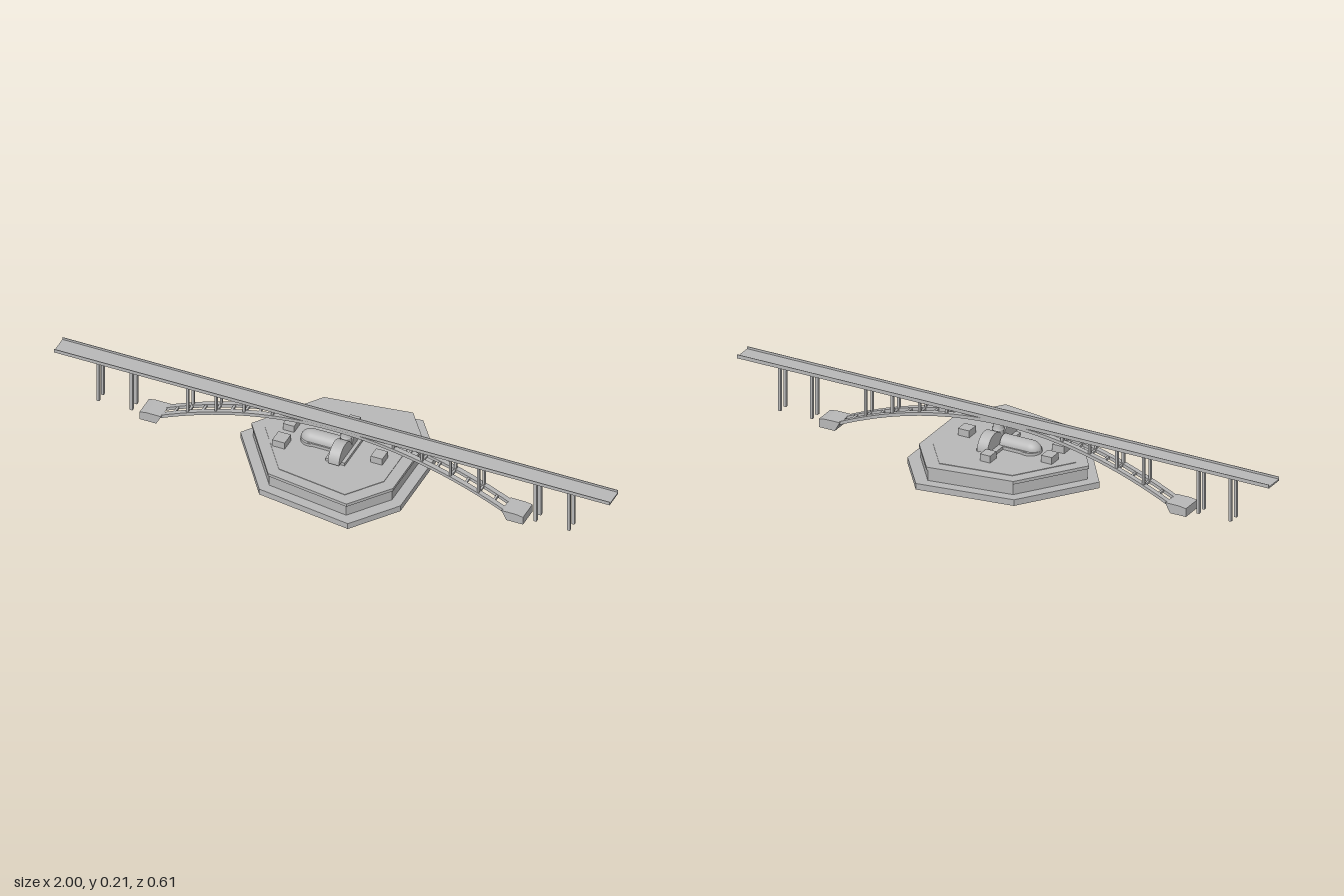
import * as THREE from 'three';

export function createModel() {
  const model = new THREE.Group();
  const concrete = new THREE.MeshStandardMaterial({ color: 0xb8b8b8 });
  concrete.name = 'grey concrete';

  function add(geometry, name, x = 0, y = 0, z = 0, parent = model) {
    const mesh = new THREE.Mesh(geometry, concrete);
    mesh.name = name;
    mesh.position.set(x, y, z);
    parent.add(mesh);
    return mesh;
  }
  // box given by its min and max corners
  function box(name, x0, x1, y0, y1, z0, z1, parent = model) {
    return add(new THREE.BoxGeometry(x1 - x0, y1 - y0, z1 - z0), name,
      (x0 + x1) / 2, (y0 + y1) / 2, (z0 + z1) / 2, parent);
  }
  // horizontal slab from half an outline, mirrored across z = 0
  function slab(name, half, scale, y0, y1) {
    const mirrored = half.filter(p => p[1] > 0).reverse().map(([x, z]) => [x, -z]);
    const points = [...half, ...mirrored].map(([x, z]) => new THREE.Vector2(x * scale, z * scale));
    const geo = new THREE.ExtrudeGeometry(new THREE.Shape(points), { depth: y1 - y0, bevelEnabled: false });
    geo.rotateX(-Math.PI / 2);
    return add(geo, name, 0, y0, 0);
  }

  // stepped seven-sided island
  const outline = [[0.297, 0.145], [0.178, 0.303], [-0.163, 0.253], [-0.344, 0]];
  const footing = [[0.175, 0.08], [0.14, 0.11], [0.08, 0.135], [-0.09, 0.135], [-0.16, 0.1], [-0.195, 0.03]];
  slab('footing', footing, 1, 0, 0.025);
  slab('lowerTerrace', outline, 1, 0.025, 0.047);
  slab('upperTerraceWall', outline, 0.87, 0.047, 0.086);
  slab('upperTerraceLip', outline, 0.885, 0.086, 0.097);
  slab('plazaPaving', outline, 0.745, 0.097, 0.099);

  // hall with barrel roof and rounded end
  const hall = new THREE.Group();
  hall.name = 'hall';
  model.add(hall);
  box('podium', 0.0, 0.07, 0.097, 0.11, -0.086, 0.086, hall);
  box('hallFloor', -0.09, 0.02, 0.097, 0.11, -0.035, 0.035, hall);
  const barrel = new THREE.CylinderGeometry(0.03, 0.03, 0.1, 24, 1, false, 0, Math.PI);
  barrel.rotateZ(Math.PI / 2);
  add(barrel, 'barrelRoof', -0.035, 0.108, 0, hall);
  const apse = new THREE.SphereGeometry(0.03, 24, 10, 0, Math.PI * 2, 0, Math.PI / 2);
  apse.scale(1.3, 1, 1);
  add(apse, 'apseDome', -0.085, 0.108, 0, hall);
  add(new THREE.CylinderGeometry(0.039, 0.039, 0.012, 24), 'apseBase', -0.085, 0.103, 0, hall);

  // pair of half-round wings
  for (const s of [-1, 1]) {
    const wing = new THREE.Shape();
    wing.moveTo(0.053, 0);
    wing.absarc(0, 0, 0.053, 0, Math.PI, false);
    wing.closePath();
    const geo = new THREE.ExtrudeGeometry(wing, { depth: 0.04, bevelEnabled: false, curveSegments: 32 });
    geo.rotateY(Math.PI / 2);
    add(geo, 'roundWing', 0.018, 0.109, s * 0.053, hall);
  }

  // stepped tower with dome
  const profile = [[0.019, 0.097], [0.019, 0.15], [0.021, 0.151], [0.021, 0.155], [0.017, 0.156],
    [0.017, 0.17], [0.013, 0.178], [0.006, 0.183], [0.002, 0.184], [0.002, 0.189], [0, 0.19]];
  const towerGeo = new THREE.LatheGeometry(profile.map(p => new THREE.Vector2(...p)), 20);
  add(towerGeo, 'domedTower', 0.037, 0, 0, hall);

  // small pavilions on the plaza
  for (const [x, z, w, d] of [[-0.169, 0.06, 0.045, 0.05], [-0.175, -0.032, 0.04, 0.046],
    [0.006, -0.123, 0.038, 0.042], [0.16, 0.01, 0.042, 0.045]]) {
    box('pavilion', x - w / 2, x + w / 2, 0.097, 0.124, z - d / 2, z + d / 2);
  }

  // bridge deck with parapets
  const bridge = new THREE.Group();
  bridge.name = 'bridge';
  model.add(bridge);
  box('deck', -1, 1, 0.194, 0.2, -0.034, 0.034, bridge);
  for (const s of [-1, 1]) {
    box('parapet', -1, 1, 0.197, 0.208, s * 0.0345 - 0.001, s * 0.0345 + 0.001, bridge);
  }

  const archY = x => 0.189 - 0.149 * (x / 0.63) ** 2;
  const ribDepth = 0.012;
  for (const s of [-1, 1]) {
    // arch ribs
    const rib = new THREE.Shape();
    const n = 32;
    for (let i = 0; i <= n; i++) {
      const x = -0.63 + (1.26 * i) / n;
      if (i === 0) rib.moveTo(x, archY(x) - ribDepth / 2);
      else rib.lineTo(x, archY(x) - ribDepth / 2);
    }
    for (let i = n; i >= 0; i--) {
      const x = -0.63 + (1.26 * i) / n;
      rib.lineTo(x, archY(x) + ribDepth / 2);
    }
    const ribGeo = new THREE.ExtrudeGeometry(rib, { depth: 0.018, bevelEnabled: false });
    add(ribGeo, 'archRib', 0, 0, s * 0.022 - 0.009, bridge);

    for (const side of [-1, 1]) {
      // columns standing on the arch
      for (const x of [0.217, 0.32, 0.422, 0.523]) {
        box('archColumn', side * x - 0.004, side * x + 0.004, archY(x), 0.195,
          s * 0.022 - 0.005, s * 0.022 + 0.005, bridge);
      }
      // approach piers
      for (const x of [0.727, 0.847]) {
        box('pier', side * x - 0.005, side * x + 0.005, 0.033, 0.195,
          s * 0.018 - 0.0055, s * 0.018 + 0.0055, bridge);
      }
    }
  }

  for (const side of [-1, 1]) {
    // cross struts between ribs
    for (const x of [0.11, 0.217, 0.27, 0.32, 0.37, 0.422, 0.473, 0.523, 0.575]) {
      box('crossStrut', side * x - 0.004, side * x + 0.004, archY(x) - 0.004, archY(x) + 0.004,
        -0.014, 0.014, bridge);
    }
    // abutments with a slanted inner face
    const foot = new THREE.Shape([[0.69, 0.018], [0.69, 0.048], [0.665, 0.052], [0.612, 0.052], [0.63, 0.018]]
      .map(([x, y]) => new THREE.Vector2(side * x, y)));
    const footGeo = new THREE.ExtrudeGeometry(foot, { depth: 0.076, bevelEnabled: false });
    add(footGeo, 'abutment', 0, 0, -0.038, bridge);
  }
  return model;
}
